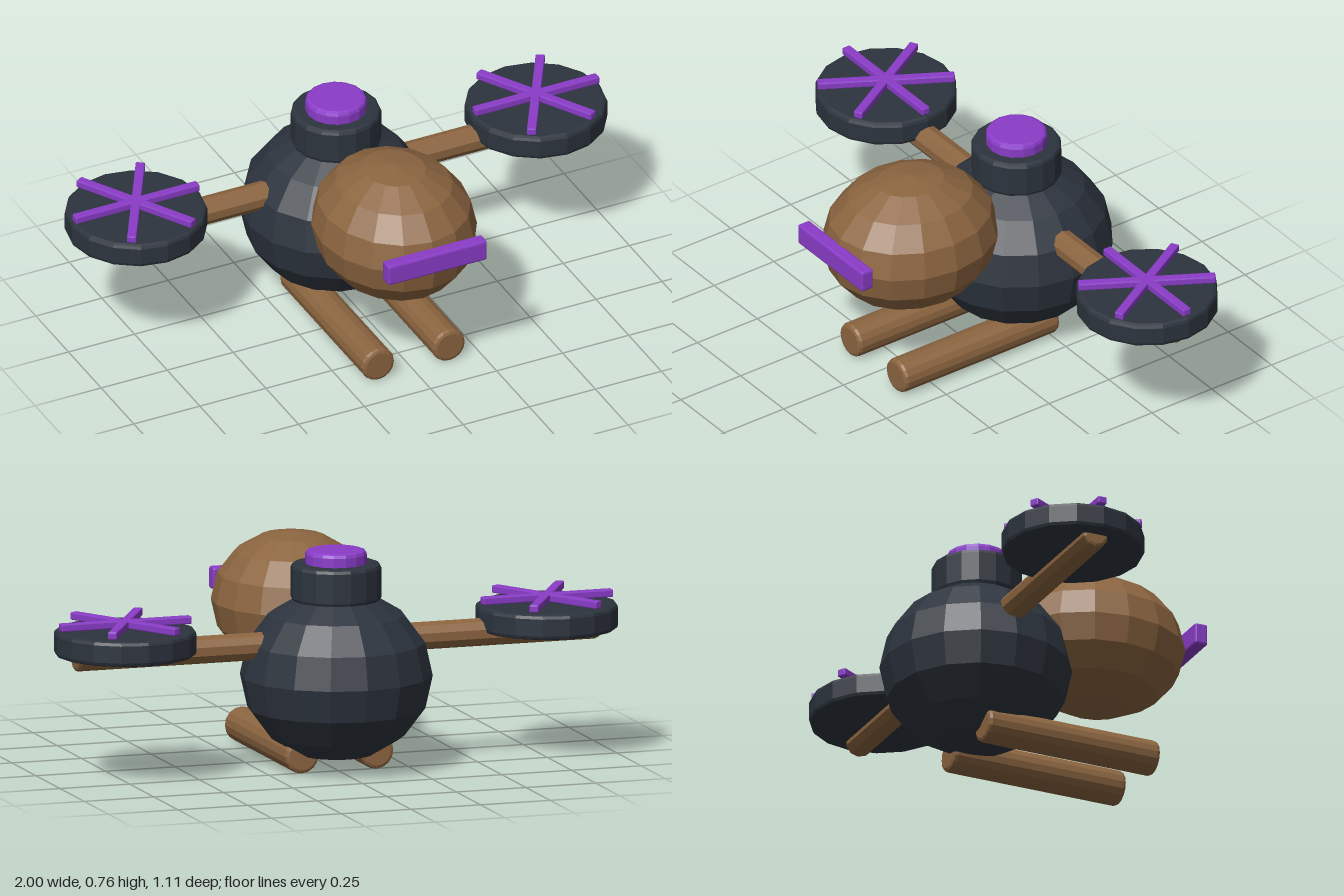
import * as THREE from 'three';
import { RoundedBoxGeometry } from 'three/addons/geometries/RoundedBoxGeometry.js';

export function createModel() {
  const model = new THREE.Group();
  const flat = (name, color) => {
    const m = new THREE.MeshStandardMaterial({ color, flatShading: true });
    m.name = name;
    return m;
  };
  const slate = flat('dark slate', 0x2d343e);
  const brown = flat('wood brown', 0x8c6540);
  const purple = flat('bright purple', 0x8a3cc8);

  const add = (parent, name, geometry, material, x, y, z) => {
    const mesh = new THREE.Mesh(geometry, material);
    mesh.name = name;
    mesh.position.set(x, y, z);
    parent.add(mesh);
    return mesh;
  };

  // Low-poly ellipsoid
  const ball = (rx, ry, rz) => new THREE.SphereGeometry(1, 16, 8).scale(rx, ry, rz);

  // Upright cylinder with softened rims, centred on the origin
  const drum = (r, h, sides, b = 0.014) => {
    const t = h / 2, k = b * 0.3;
    const half = [[0, t], [r - b, t], [r - k, t - k], [r, t - b]];
    const profile = [
      ...half.map(([x, y]) => new THREE.Vector2(x, -y)),
      ...half.reverse().map(([x, y]) => new THREE.Vector2(x, y)),
    ];
    return new THREE.LatheGeometry(profile, sides);
  };

  const bodyZ = -0.227;

  // Body, head and face bar
  add(model, 'body', ball(0.328, 0.295, 0.328), slate, 0, 0.33, bodyZ);
  add(model, 'head', ball(0.275, 0.243, 0.316), brown, 0, 0.507, 0.22);
  add(model, 'visor', new RoundedBoxGeometry(0.374, 0.076, 0.048, 1, 0.007), purple, 0, 0.54, 0.533);

  // Hatch and button on top of the body
  add(model, 'hatch', drum(0.154, 0.13, 16), slate, 0, 0.65, bodyZ + 0.003);
  add(model, 'hatchButton', drum(0.105, 0.06, 16), purple, 0, 0.731, bodyZ + 0.003);

  // Cross arm through the body
  add(model, 'crossArm', drum(0.048, 1.88, 10, 0.012).rotateY(Math.PI / 10).rotateZ(Math.PI / 2),
    brown, 0, 0.444, bodyZ + 0.003);

  for (const [side, s] of [['left', 1], ['right', -1]]) {
    // Rotor disc with three crossed blades
    const rotor = new THREE.Group();
    rotor.name = side + 'Rotor';
    rotor.position.set(s * 0.757, 0, bodyZ + 0.003);
    model.add(rotor);
    add(rotor, 'rotorDisc', drum(0.243, 0.087, 16), slate, 0, 0.487, 0);
    for (let i = 0; i < 3; i++) {
      const blade = add(rotor, 'blade', new RoundedBoxGeometry(0.468, 0.026, 0.032, 1, 0.004),
        purple, 0, 0.551, 0);
      blade.rotation.y = i * Math.PI / 3;
    }
    // Landing skid
    add(model, side + 'Skid', drum(0.061, 0.646, 16, 0.013).rotateX(Math.PI / 2),
      brown, s * 0.134, 0.062, 0.055);
  }
  return model;
}
